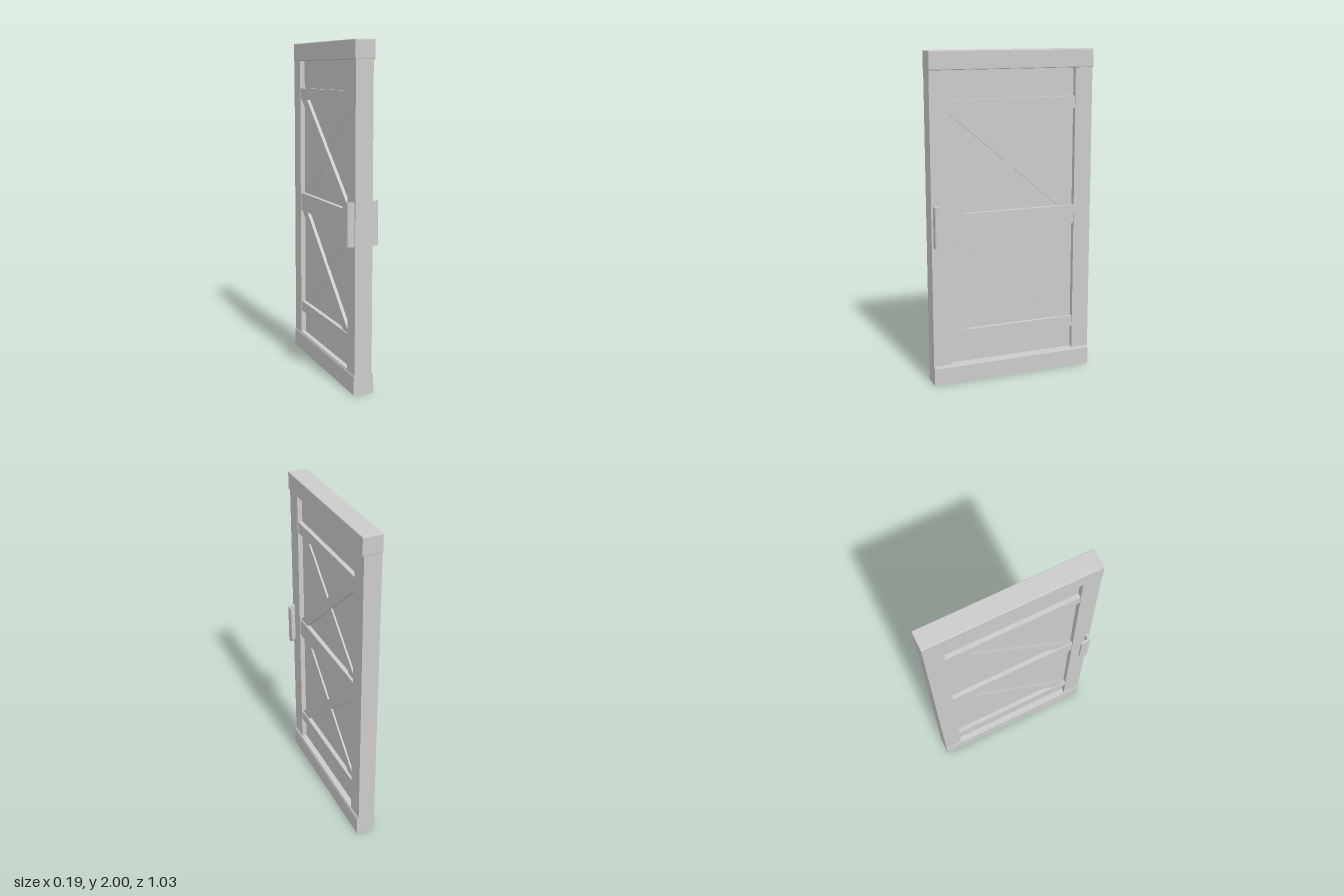
import * as THREE from 'three';
import { RoundedBoxGeometry } from 'three/addons/geometries/RoundedBoxGeometry.js';

export function createModel() {
  const door = new THREE.Group();
  door.name = 'barnDoor';
  const material = new THREE.MeshStandardMaterial({ color: 0xcccccc, flatShading: true });
  const CX = -0.003; // the leaf sits slightly off the caps' centre line

  const add = (name, geometry, x = 0, y = 0, z = 0) => {
    const mesh = new THREE.Mesh(geometry, material);
    mesh.name = name;
    mesh.position.set(x, y, z);
    door.add(mesh);
    return mesh;
  };
  const slab = (name, width, y0, y1, z0, z1) =>
    add(name, new THREE.BoxGeometry(width, y1 - y0, z1 - z0), CX, (y0 + y1) / 2, (z0 + z1) / 2);

  // Head beam with eased edges
  add('headBeam', new RoundedBoxGeometry(0.12, 0.11, 1.03, 1, 0.005), 0, 1.945, 0);

  // Base beam, tapering at its top edge
  const base = new THREE.BoxGeometry(0.12, 0.12, 1.024, 1, 2, 1);
  const bp = base.attributes.position;
  for (let i = 0; i < bp.count; i++) {
    if (Math.abs(bp.getY(i)) < 0.01) bp.setY(i, 0.045);
    else if (bp.getY(i) > 0) bp.setX(i, Math.sign(bp.getX(i)) * 0.054);
  }
  base.computeVertexNormals();
  add('baseBeam', base, 0, 0.06, 0);

  // Upright stiles and the recessed panel
  slab('frontStile', 0.105, 0.11, 1.9, 0.402, 0.513);
  slab('backStile', 0.105, 0.11, 1.9, -0.513, -0.402);
  slab('panel', 0.044, 0.1, 1.92, -0.42, 0.42);

  // Cross rails
  for (const [name, y0, y1] of [['lowerRail', 0.265, 0.33], ['middleRail', 0.937, 1.05], ['upperRail', 1.65, 1.72]])
    slab(name, 0.098, y0, y1, -0.402, 0.402);

  // Diagonal braces, cut flush to the rails; dir = 1 rises towards the back
  const brace = (name, y0, y1, dir, x0, x1) => {
    const pts = [[0.402, y0], [0.305, y0], [-0.402, y1], [-0.305, y1]];
    const shape = new THREE.Shape(pts.map(([z, y]) => new THREE.Vector2(-z * dir, y)));
    const geometry = new THREE.ExtrudeGeometry(shape, { depth: x1 - x0, bevelEnabled: false });
    geometry.rotateY(Math.PI / 2);
    add(name, geometry, x0, 0, 0);
  };
  for (const [name, y0, y1] of [['lower', 0.33, 0.937], ['upper', 1.05, 1.65]]) {
    brace(name + 'MainBrace', y0, y1, 1, CX - 0.042, CX + 0.042);
    brace(name + 'CounterBrace', y0, y1, -1, CX - 0.024, CX + 0.033);
  }

  // Hooked pulls: an L profile extruded upwards, its free edge rounded at both ends
  const hook = (side) => {
    const tip = 0.44, r = 0.035, steps = 7;
    const s = new THREE.Shape();
    s.moveTo(0.045, 0.502);
    s.lineTo(0.08, 0.502);
    s.quadraticCurveTo(0.095, 0.502, 0.095, 0.486);
    const tipZ = (i) => tip + r * (1 - Math.cos((i / steps) * Math.PI / 2));
    for (let i = steps; i >= 0; i--) s.lineTo(0.095, tipZ(i));
    for (let i = 0; i <= steps; i++) s.lineTo(0.083, tipZ(i));
    s.quadraticCurveTo(0.083, 0.485, 0.075, 0.485);
    s.lineTo(0.045, 0.485);
    const g = new THREE.ExtrudeGeometry(s, { depth: 0.25, bevelEnabled: false, curveSegments: 5 });
    g.translate(0, 0, -0.125);
    g.rotateX(Math.PI / 2); // profile y becomes z, depth becomes -y
    const p = g.attributes.position;
    for (let i = 0; i < p.count; i++) {
      const d = Math.max(0, r - (p.getZ(i) - tip));
      const half = 0.125 - (r - Math.sqrt(Math.max(0, r * r - d * d)));
      p.setY(i, Math.sign(p.getY(i)) * half);
    }
    // Half a turn about z mirrors the symmetric pull onto the other face
    if (side < 0) g.rotateZ(Math.PI);
    g.computeVertexNormals();
    add(side > 0 ? 'leftHandle' : 'rightHandle', g, CX, 0.985, 0);
  };
  hook(1);
  hook(-1);

  return door;
}
